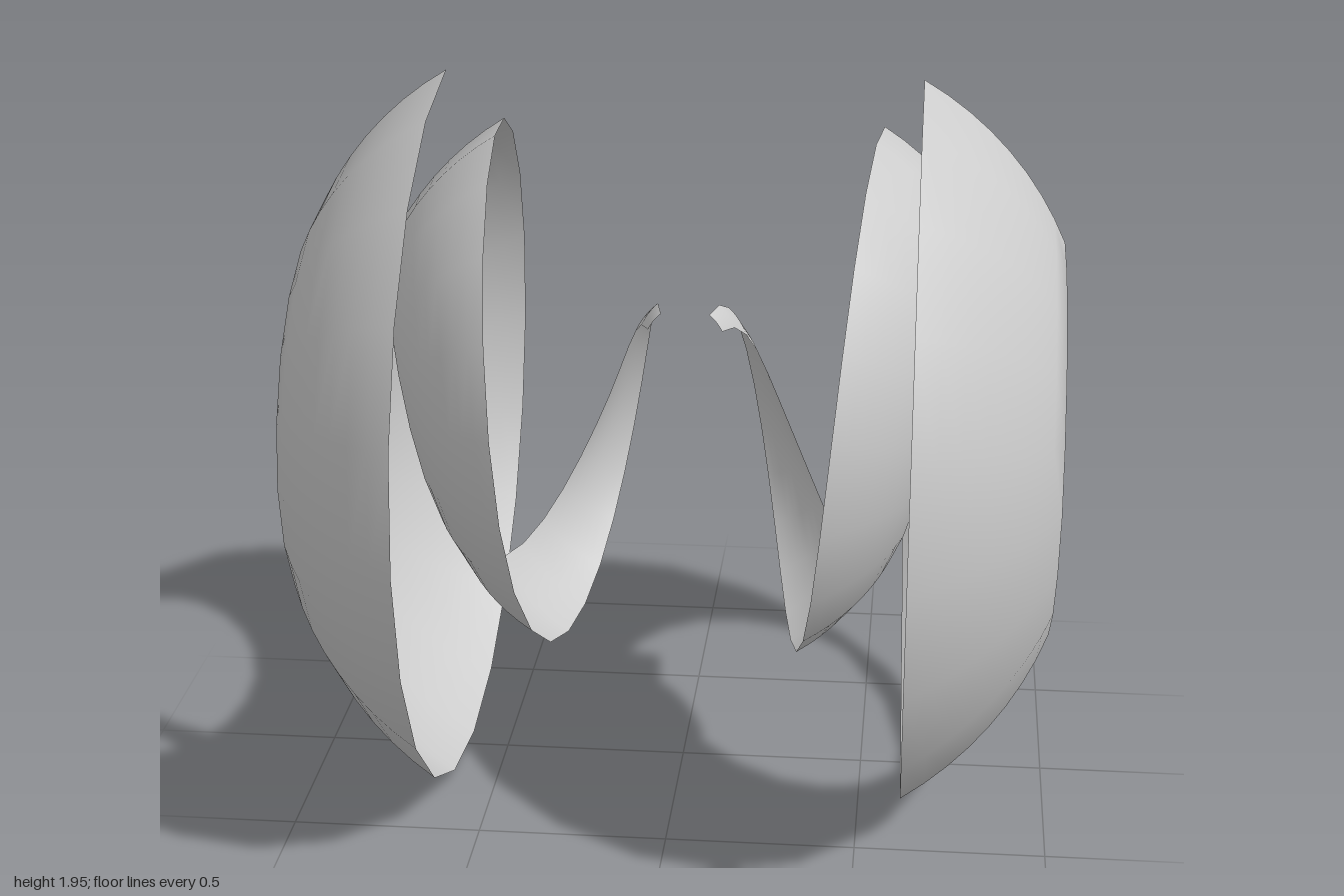
import * as THREE from 'three';
import { ParametricGeometry } from 'three/addons/geometries/ParametricGeometry.js';

const TURNS = 2;
const AXIS_Y = 0.95, AXIS_Z = -0.05;

// Band edges as [distance from centre plane, radius about the axis], one entry per quarter turn
const edge = (pairs) => new THREE.CatmullRomCurve3(
  pairs.map(([x, r]) => new THREE.Vector3(x, r, 0)), false, 'catmullrom', 0.5);

const innerEdge = edge([[0.065, 0.335], [0.16, 0.4], [0.28, 0.525], [0.4, 0.7], [0.5, 0.82],
  [0.57, 0.895], [0.61, 0.95], [0.62, 0.99], [0.62, 1.0]]);
const outerEdge = edge([[0.1, 0.29], [0.24, 0.28], [0.45, 0.345], [0.64, 0.42], [0.81, 0.46],
  [0.92, 0.485], [0.98, 0.51], [1.0, 0.545], [1.0, 0.56]]);

const a = new THREE.Vector3(), b = new THREE.Vector3();

// u runs across the band, v along the spiral; each cross-section is an arc about the origin
function spiralBand(u, v, target) {
  innerEdge.getPoint(v, a);
  outerEdge.getPoint(v, b);
  const angle = THREE.MathUtils.lerp(Math.atan2(a.x, a.y), Math.atan2(b.x, b.y), u);
  const size = THREE.MathUtils.lerp(a.length(), b.length(), u) * (1 + 0.03 * u * (1 - u));
  const x = size * Math.sin(angle), r = size * Math.cos(angle);
  // the wide end is cut slightly askew
  const turn = v * TURNS * Math.PI * 2 + v * THREE.MathUtils.lerp(-0.04, 0.02, u);
  target.set(Math.min(x, 1), AXIS_Y + r * Math.cos(turn), AXIS_Z - r * Math.sin(turn));
}

export function createModel() {
  const group = new THREE.Group();
  group.name = 'doubleSpiral';
  const material = new THREE.MeshStandardMaterial({ color: 0xcccccc, side: THREE.DoubleSide });
  const geometry = new ParametricGeometry(spiralBand, 8, 40);

  // Two mirrored spiral ribbons
  for (const [name, side] of [['leftSpiral', 1], ['rightSpiral', -1]]) {
    const mesh = new THREE.Mesh(geometry, material);
    mesh.name = name;
    mesh.scale.x = side;
    group.add(mesh);
  }
  return group;
}
